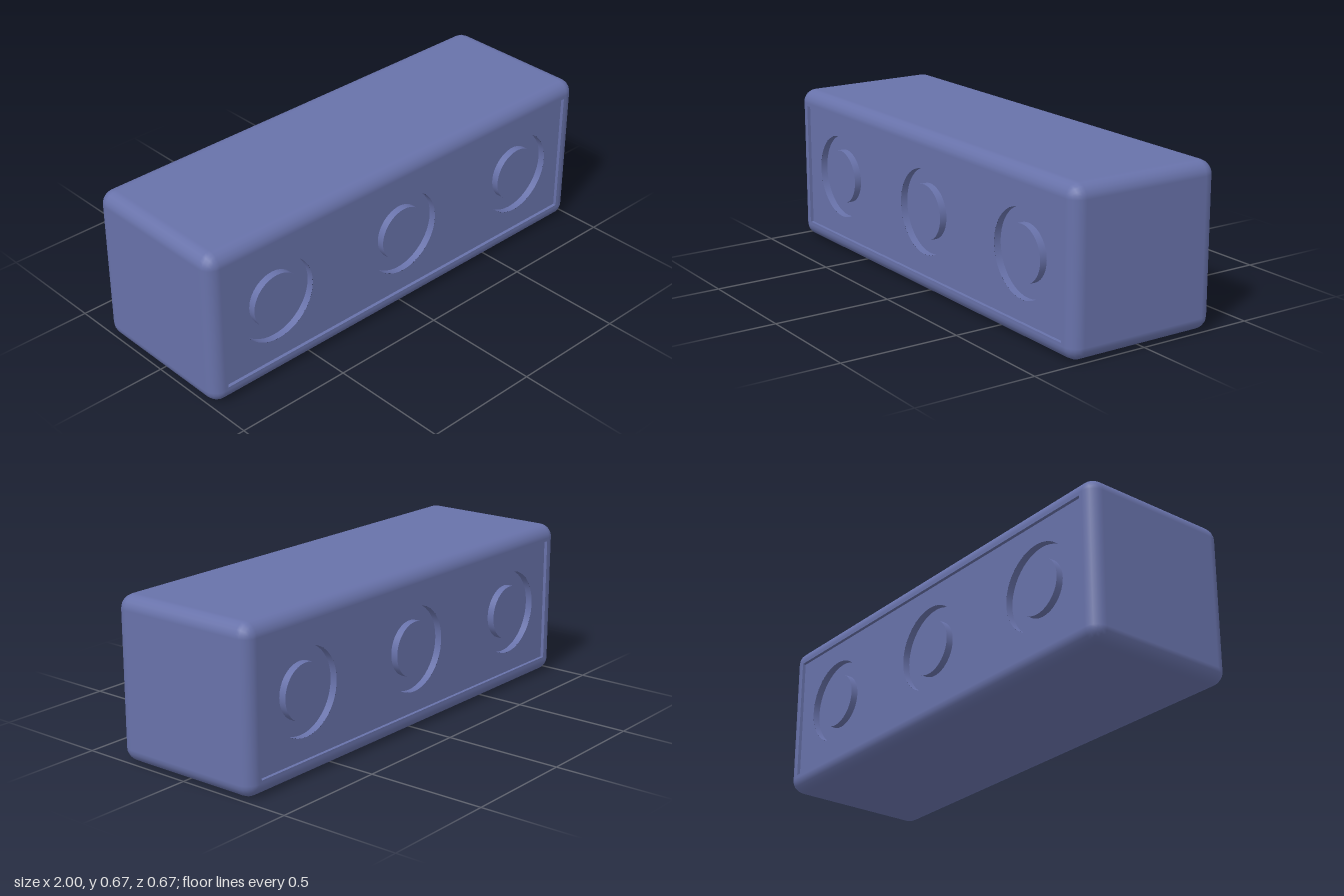
import * as THREE from 'three';

const W = 2, H = 0.667, D = 0.667;   // overall size
const R = 0.056;                     // edge rounding
const LIP = 0.068, RECESS = 0.014;   // frame width and panel inset
const OUTER = 0.178, INNER = 0.115, GROOVE = 0.03;
const CENTRES = [-0.667, 0, 0.667];
const SEG = 48;

// Half of the rounded casing, swept as rounded-rectangle loops from z = 0 to the recessed panel
function halfShell() {
  const steps = 5;
  const loops = [{ inset: 0, z: 0, out: 1, nz: 0 }];
  for (let i = 0; i <= steps; i++) {
    const a = (i / steps) * Math.PI / 2;
    loops.push({
      inset: R - R * Math.cos(a), z: D / 2 - R + R * Math.sin(a),
      out: Math.cos(a), nz: Math.sin(a),
    });
  }
  loops.push({ inset: LIP, z: D / 2, out: 0, nz: 1 });
  loops.push({ inset: LIP, z: D / 2, out: -1, nz: 0 });
  loops.push({ inset: LIP, z: D / 2 - RECESS, out: -1, nz: 0 });

  const pos = [], nor = [], idx = [];
  const signs = [[1, 1], [-1, 1], [-1, -1], [1, -1]];
  for (const { inset, z, out, nz } of loops) {
    const rad = Math.max(R - inset, 0);
    signs.forEach(([sx, sy], c) => {
      for (let k = 0; k <= steps; k++) {
        const t = (c + k / steps) * Math.PI / 2;
        const cx = W / 2 - inset - rad, cy = H / 2 - inset - rad;
        pos.push(sx * cx + rad * Math.cos(t), sy * cy + rad * Math.sin(t), z);
        nor.push(out * Math.cos(t), out * Math.sin(t), nz);
      }
    });
  }
  const n = 4 * (steps + 1);
  for (let l = 0; l < loops.length - 1; l++) {
    for (let i = 0; i < n; i++) {
      const a = l * n + i, b = l * n + (i + 1) % n;
      idx.push(a, b, b + n, a, b + n, a + n);
    }
  }
  const g = new THREE.BufferGeometry();
  g.setAttribute('position', new THREE.Float32BufferAttribute(pos, 3));
  g.setAttribute('normal', new THREE.Float32BufferAttribute(nor, 3));
  g.setIndex(idx);
  return g;
}

// Flat panel with a round opening for each button
function panelGeometry() {
  const w = W / 2 - LIP, h = H / 2 - LIP;
  const shape = new THREE.Shape();
  shape.moveTo(-w, -h);
  shape.lineTo(w, -h);
  shape.lineTo(w, h);
  shape.lineTo(-w, h);
  shape.closePath();
  for (const x of CENTRES) {
    const hole = new THREE.Path();
    hole.absarc(x, 0, OUTER, 0, Math.PI * 2, true);
    shape.holes.push(hole);
  }
  return new THREE.ShapeGeometry(shape, SEG);
}

// Surface turned around the z axis between two profile points [radius, z]
function turned(a, b) {
  const pts = [new THREE.Vector2(...a), new THREE.Vector2(...b)];
  return new THREE.LatheGeometry(pts, SEG).rotateX(Math.PI / 2);
}

export function createModel() {
  const model = new THREE.Group();
  model.name = 'buttonBar';
  const blue = new THREE.MeshStandardMaterial({ color: 0x6872aa });
  blue.name = 'slate blue';

  const mesh = (geometry, name, parent) => {
    const m = new THREE.Mesh(geometry, blue);
    m.name = name;
    parent.add(m);
    return m;
  };

  const shell = halfShell(), panel = panelGeometry();
  const grooveParts = {
    grooveOuterWall: turned([OUTER, 0], [OUTER, -GROOVE]),
    grooveFloor: turned([OUTER, -GROOVE], [INNER, -GROOVE]),
    buttonSide: turned([INNER, -GROOVE], [INNER, 0]),
    buttonFace: turned([INNER, 0], [0, 0]),
  };

  // Front and back halves are identical
  for (const side of ['front', 'back']) {
    const half = new THREE.Group();
    half.name = side + 'Half';
    half.position.y = H / 2;
    if (side === 'back') half.rotation.y = Math.PI;
    mesh(shell, 'casing', half);
    mesh(panel, 'panel', half).position.z = D / 2 - RECESS;
    for (const x of CENTRES) {
      const button = new THREE.Group();
      button.name = 'button';
      button.position.set(x, 0, D / 2 - RECESS);
      for (const [name, geometry] of Object.entries(grooveParts)) mesh(geometry, name, button);
      half.add(button);
    }
    model.add(half);
  }
  return model;
}
